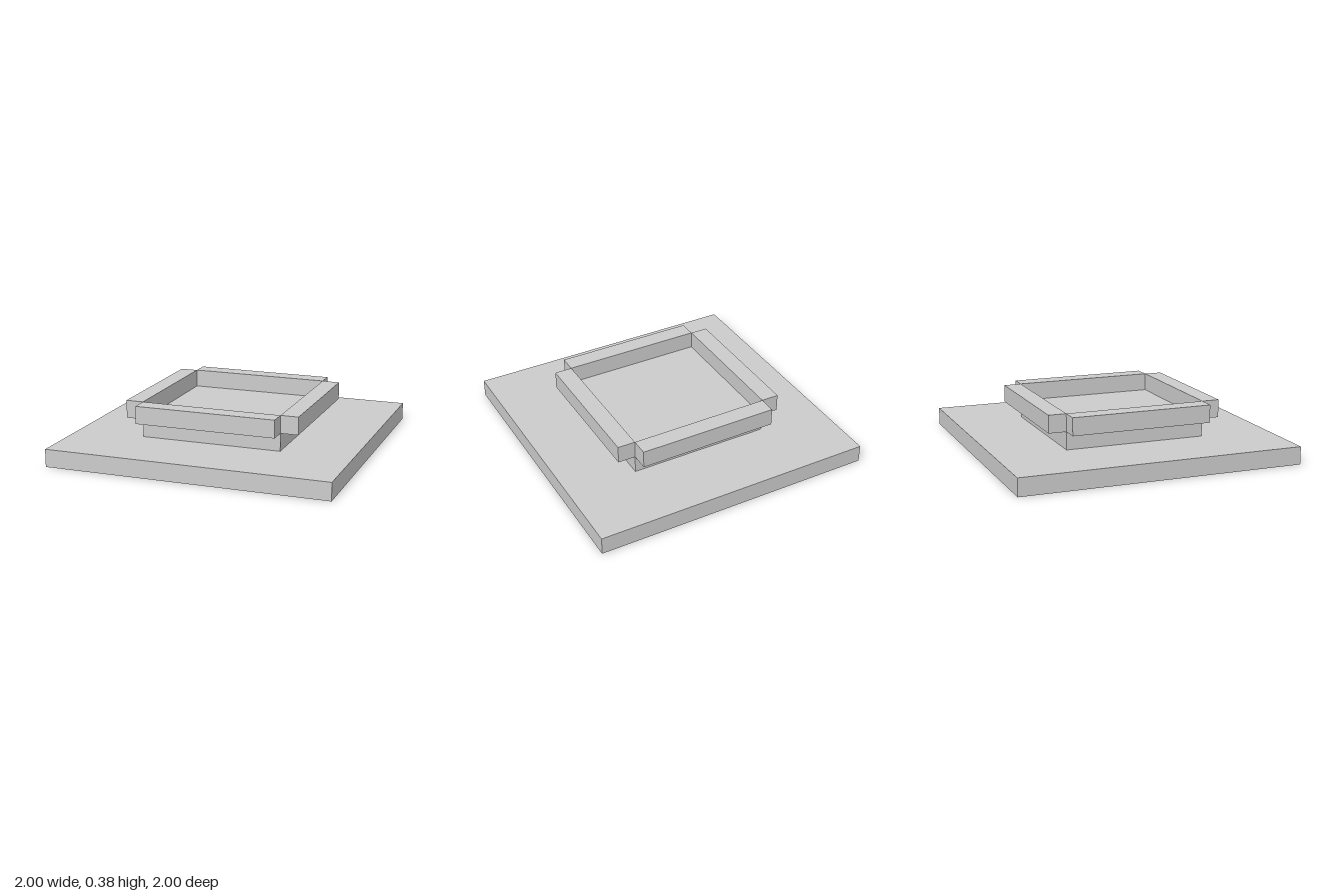
import * as THREE from 'three';

const T = 0.125; // shared thickness of slab, block and rails

export function createModel() {
  const model = new THREE.Group();
  model.name = 'steppedPedestal';
  const material = new THREE.MeshStandardMaterial({ color: 0xcccccc, flatShading: true });

  const addBox = (name, w, h, d, x, y, z) => {
    const mesh = new THREE.Mesh(new THREE.BoxGeometry(w, h, d), material);
    mesh.name = name;
    mesh.position.set(x, y, z);
    model.add(mesh);
  };

  // Wide base slab and the smaller block standing on it
  addBox('baseSlab', 2, T, 2, 0, T / 2, 0);
  addBox('centreBlock', 1, T, 1, 0, T * 1.5, 0);

  // Four rails just outside the top edges of the block, leaving the corners open
  const offset = 0.5 + T / 2;
  const railY = T * 2.5;
  addBox('leftRail', T, T, 1, offset, railY, 0);
  addBox('rightRail', T, T, 1, -offset, railY, 0);
  addBox('frontRail', 1, T, T, 0, railY, offset);
  addBox('backRail', 1, T, T, 0, railY, -offset);

  return model;
}
